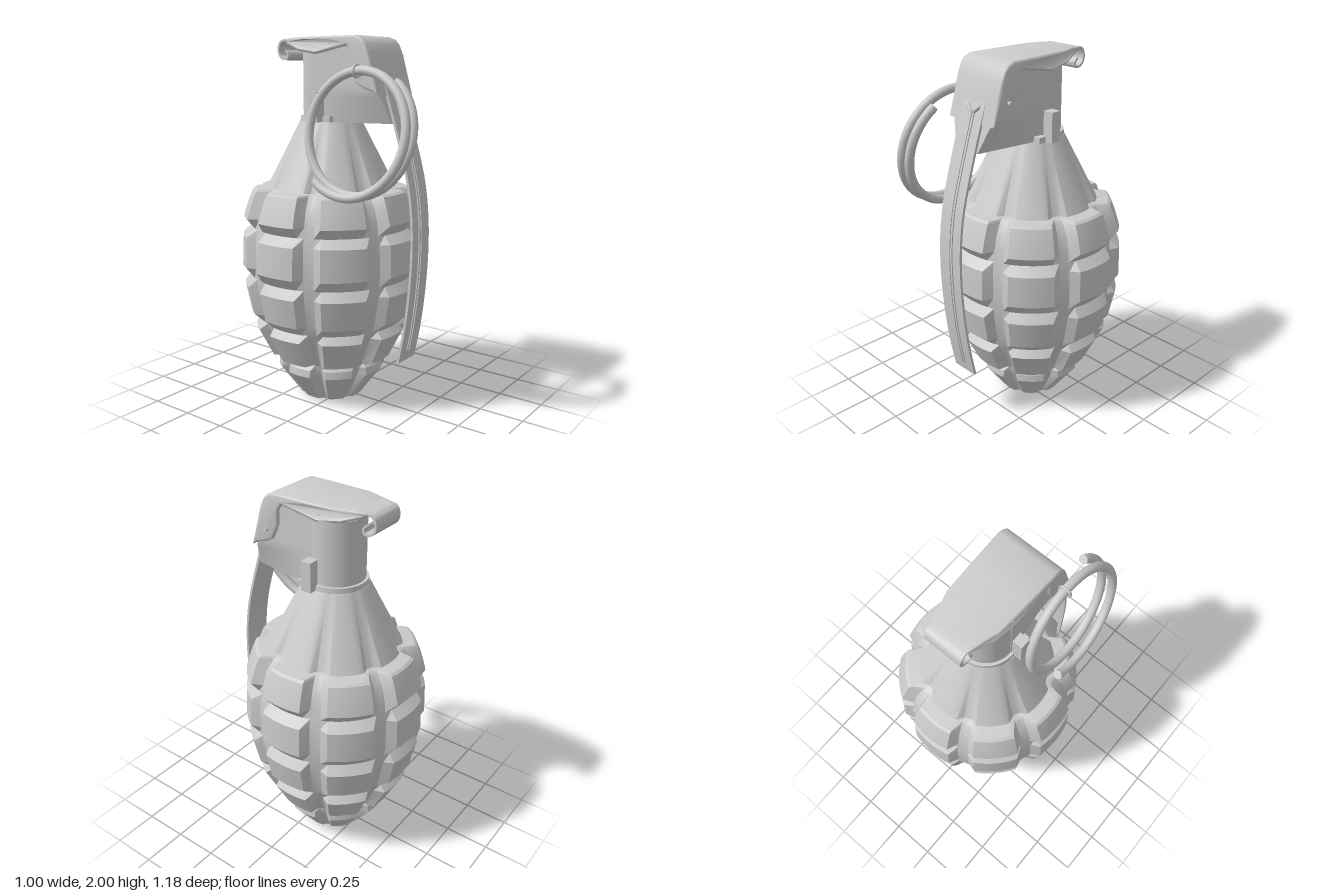
import * as THREE from 'three';
import { toCreasedNormals } from 'three/addons/utils/BufferGeometryUtils.js';

const CZ = -0.087; // z of the body axis
const CX = -0.005; // x of the lever assembly
const mat = new THREE.MeshStandardMaterial({ color: 0xcccccc });
const matDouble = new THREE.MeshStandardMaterial({ color: 0xcccccc, side: THREE.DoubleSide });

function add(parent, name, geometry, x = 0, y = 0, z = 0, material = mat) {
  const mesh = new THREE.Mesh(geometry, material);
  mesh.name = name;
  mesh.position.set(x, y, z);
  parent.add(mesh);
  return mesh;
}

// Segmented body: eight lobes, each row is [height, groove radius, block radius]
function bodyGeometry() {
  const rows = [
    [0, 0, 0], [0, 0.165, 0.18], [0.17, 0.255, 0.305], [0.21, 0.27, 0.3], [0.235, 0.275, 0.28],
    [0.25, 0.295, 0.35], [0.41, 0.375, 0.43], [0.45, 0.395, 0.4], [0.5, 0.41, 0.455],
    [0.66, 0.445, 0.488], [0.71, 0.45, 0.452], [0.77, 0.455, 0.5], [0.94, 0.45, 0.492],
    [0.985, 0.44, 0.443], [1.04, 0.43, 0.487], [1.12, 0.405, 0.462], [1.185, 0.36, 0.435],
    [1.195, 0.345, 0.42], [1.2, 0.325, 0.355], [1.45, 0.218, 0.226], [1.56, 0.168, 0.17], [1.56, 0, 0],
  ];
  // [degrees from lobe centre, share of block height]
  const lobe = [[-22.5, 0], [-19, 0.08], [-14, 1], [-9, 1], [-4.5, 1], [0, 1], [4.5, 1], [9, 1], [14, 1], [19, 0.08]];
  const n = lobe.length * 8;
  const pos = [], index = [];
  rows.forEach(([y, low, high], j) => {
    for (let i = 0; i < n; i++) {
      const [deg, g] = lobe[i % lobe.length];
      const a = THREE.MathUtils.degToRad(deg + 45 * Math.floor(i / lobe.length));
      const r = low + (high - low) * g;
      pos.push(r * Math.sin(a), y, r * Math.cos(a));
      if (j === 0) continue;
      const k = (i + 1) % n, p = (j - 1) * n, q = j * n;
      if (j > 1) index.push(p + i, p + k, q + k);
      if (j < rows.length - 1) index.push(p + i, q + k, q + i);
    }
  });
  const geo = new THREE.BufferGeometry();
  geo.setAttribute('position', new THREE.Float32BufferAttribute(pos, 3));
  geo.setIndex(index);
  return toCreasedNormals(geo, 0.45);
}

// Extrudes a [z, y] outline across x, centred on x = 0
function sideExtrude(points, width, options = {}) {
  const shape = new THREE.Shape(points.map(([z, y]) => new THREE.Vector2(z, y)));
  const bevel = options.bevelThickness || 0;
  const geo = new THREE.ExtrudeGeometry(shape, { depth: width - 2 * bevel, bevelEnabled: false, ...options });
  geo.translate(0, 0, -width / 2 + bevel);
  geo.rotateY(-Math.PI / 2);
  return geo;
}

// Thin bent strip following a smooth [z, y] path
function strip(path, width, thickness, samples = 32) {
  const curve = new THREE.SplineCurve(path.map(([z, y]) => new THREE.Vector2(z, y)));
  const a = [], b = [];
  for (let i = 0; i <= samples; i++) {
    const p = curve.getPoint(i / samples), t = curve.getTangent(i / samples);
    const h = thickness / 2;
    a.push([p.x - t.y * h, p.y + t.x * h]);
    b.unshift([p.x + t.y * h, p.y - t.x * h]);
  }
  return toCreasedNormals(sideExtrude([...a, ...b], width), 0.6);
}

function reshape(geo, rule) {
  const p = geo.attributes.position, v = new THREE.Vector3();
  for (let i = 0; i < p.count; i++) {
    rule(v.fromBufferAttribute(p, i));
    p.setXYZ(i, v.x, v.y, v.z);
  }
  return toCreasedNormals(geo, 0.6);
}

// Linear interpolation through [key, value] stops in rising key order
function lerpStops(stops, k) {
  for (let i = 1; i < stops.length; i++) {
    const [k0, v0] = stops[i - 1], [k1, v1] = stops[i];
    if (k <= k1) return v0 + (v1 - v0) * THREE.MathUtils.clamp((k - k0) / (k1 - k0), 0, 1);
  }
  return stops[stops.length - 1][1];
}

// One and a half turns of wire, tilted sideways
class RingCurve extends THREE.Curve {
  getPoint(u, target = new THREE.Vector3()) {
    const a = THREE.MathUtils.degToRad(231 + 543 * u);
    const y = 0.31 * Math.sin(a);
    return target.set(-0.3 + 0.1 * u + 0.18 * y, 1.515 + y, 0.262 + 0.305 * Math.cos(a));
  }
}

export function createModel() {
  const model = new THREE.Group();
  model.name = 'segmentedShellWithLever';

  add(model, 'body', bodyGeometry(), 0, 0, CZ);
  add(model, 'collar', new THREE.CylinderGeometry(0.165, 0.168, 0.03, 48), 0, 1.573, CZ);
  add(model, 'neck', new THREE.CylinderGeometry(0.15, 0.15, 0.36, 48), 0, 1.745, CZ);

  // Housing in front of the neck, pinched to lever width at its lower front edge
  const frontZ = [[1.56, 0.365], [1.72, 0.322], [1.95, 0.2]];
  const frontW = [[1.56, 0.08], [1.72, 0.145], [1.95, 0.148]];
  const housing = reshape(new THREE.BoxGeometry(2, 0.39, 1, 1, 12, 8).translate(0, 1.755, 0.5), (v) => {
    const t = v.z;
    v.x *= THREE.MathUtils.lerp(0.148, lerpStops(frontW, v.y), t);
    v.z = THREE.MathUtils.lerp(CZ, lerpStops(frontZ, v.y), t);
  });
  add(model, 'housing', housing, CX);

  // Pressed cover over the head, narrowing to the rear
  const coverOutline = [
    [0.335, 1.7], [0.298, 1.83], [0.275, 1.91], [0.252, 1.96], [0.23, 1.985], [0.195, 2], [0, 2], [-0.17, 2],
    [-0.25, 2], [-0.33, 1.995], [-0.31, 1.97], [-0.2, 1.93], [-0.07, 1.91], [0.06, 1.935],
    [0.14, 1.95], [0.16, 1.92], [0.165, 1.84], [0.2, 1.76], [0.25, 1.735], [0.3, 1.72],
  ];
  const coverW = [[-0.35, 0.105], [-0.3, 0.11], [-0.16, 0.155], [0.2, 0.167]];
  const cover = reshape(
    sideExtrude(coverOutline, 2 * 0.167, { bevelEnabled: true, bevelThickness: 0.012, bevelSize: 0.012, bevelOffset: -0.012, bevelSegments: 3 }),
    (v) => { v.x *= lerpStops(coverW, v.z) / 0.167; },
  );
  add(model, 'cover', cover, CX, 0, 0, matDouble);

  // Rolled hook at the rear of the cover
  const hook = [[-0.27, 1.993], [-0.32, 1.99], [-0.355, 1.98], [-0.37, 1.945], [-0.362, 1.91], [-0.335, 1.89], [-0.308, 1.893], [-0.302, 1.915], [-0.32, 1.935]];
  add(model, 'rearHook', strip(hook, 0.205, 0.012), CX, 0, 0, matDouble);

  // Curved lever with a raised forked rib
  const lever = [[0.3, 1.8], [0.335, 1.7], [0.4, 1.5], [0.46, 1.29], [0.489, 1.1], [0.495, 0.9], [0.482, 0.68], [0.455, 0.47], [0.42, 0.295]];
  add(model, 'lever', strip(lever, 0.16, 0.014), CX, 0, 0, matDouble);
  const rib = [[0.318, 1.755], ...lever.slice(1, -1), [0.432, 0.355]].map(([z, y]) => [z + 0.006, y]);
  add(model, 'leverRib', strip(rib, 0.046, 0.014), CX, 0, 0, matDouble);
  add(model, 'leverRibCrest', strip(rib.map(([z, y]) => [z + 0.006, y]), 0.022, 0.012), CX, 0, 0, matDouble);
  for (const s of [-1, 1]) {
    const fork = add(model, 'ribFork', new THREE.CapsuleGeometry(0.013, 0.035, 4, 10), CX + s * 0.026, 1.765, 0.32);
    fork.rotation.set(-0.28, 0, -s * 0.85);
    // Side ears and their small feet
    add(model, 'ear', new THREE.BoxGeometry(0.06, 0.16, 0.058), s * 0.178, 1.64, -0.049);
    add(model, 'earFoot', new THREE.BoxGeometry(0.04, 0.03, 0.045), s * 0.15, 1.575, 0.01);
  }

  // Pull ring, pin and the small loop that joins them
  const ringCurve = new RingCurve();
  add(model, 'pullRing', new THREE.TubeGeometry(ringCurve, 120, 0.024, 12));
  for (const u of [0, 1]) {
    const cap = add(model, 'ringEnd', new THREE.CircleGeometry(0.024, 12));
    const dir = ringCurve.getTangent(u).multiplyScalar(u ? 1 : -1);
    cap.position.copy(ringCurve.getPoint(u));
    cap.quaternion.setFromUnitVectors(new THREE.Vector3(0, 0, 1), dir);
  }
  const pin = add(model, 'pin', new THREE.CylinderGeometry(0.011, 0.011, 0.355, 12), 0, 1.805, 0.232);
  pin.rotation.z = Math.PI / 2;
  add(model, 'pinLoop', new THREE.TorusGeometry(0.029, 0.008, 8, 20), -0.206, 1.823, 0.232);

  return model;
}
